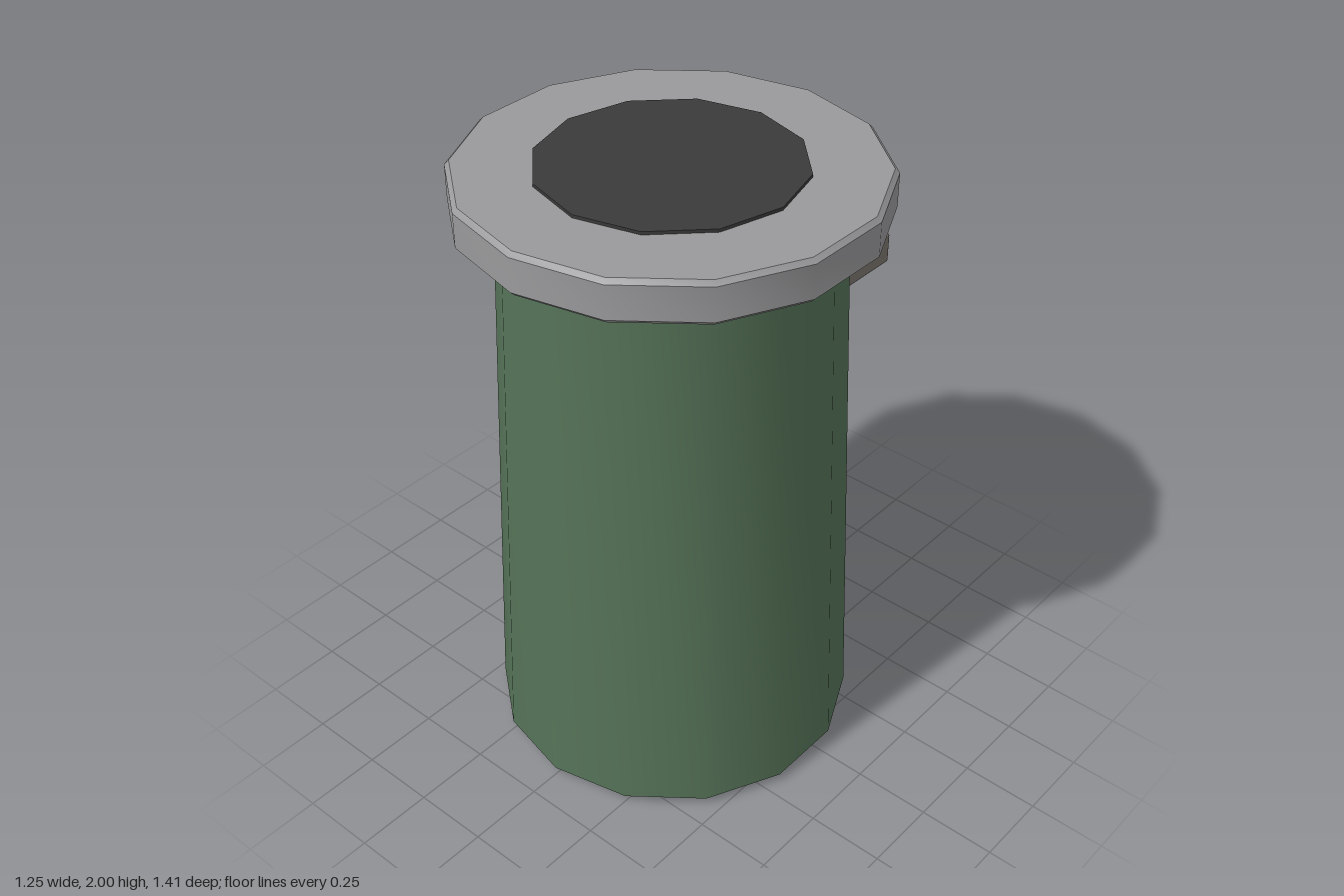
import * as THREE from 'three';
import { toCreasedNormals } from 'three/addons/utils/BufferGeometryUtils.js';
import { RoundedBoxGeometry } from 'three/addons/geometries/RoundedBoxGeometry.js';

const material = (name, color) => {
  const m = new THREE.MeshStandardMaterial({ color });
  m.name = name;
  return m;
};

// Closed turned solid: smooth around, sharp at its bevels
function turned(name, profile, sides, mat) {
  const points = profile.map(([r, y]) => new THREE.Vector2(r, y));
  const geometry = toCreasedNormals(new THREE.LatheGeometry(points, sides), THREE.MathUtils.degToRad(32));
  const mesh = new THREE.Mesh(geometry, mat);
  mesh.name = name;
  return mesh;
}

export function createModel() {
  const green = material('green paint', 0x557257);
  const grey = material('light grey metal', 0x9a9a9c);
  const dark = material('dark opening', 0x3a3a3a);
  const brown = material('brown grey bracket', 0x7b756f);

  const model = new THREE.Group();
  model.name = 'bin';

  // Round parts share an axis set forward of the bracket
  const round = new THREE.Group();
  round.name = 'roundParts';
  round.position.z = 0.065;
  round.add(
    // Tapered body with bevelled ends
    turned('body', [[0, 0], [0.555, 0], [0.583, 0.028], [0.51, 1.842], [0.496, 1.857], [0, 1.857]], 14, green),
    // Overhanging rim
    turned('rim', [[0, 1.855], [0.626, 1.855], [0.64, 1.869], [0.64, 1.976], [0.626, 1.99], [0, 1.99]], 14, grey),
    // Opening disc on top
    turned('opening', [[0, 1.96], [0.4, 1.96], [0.4, 2], [0, 2]], 12, dark)
  );
  model.add(round);

  // Rear mounting bracket
  const bracket = new THREE.Mesh(new RoundedBoxGeometry(0.476, 0.1, 0.315, 1, 0.006), brown);
  bracket.name = 'rearBracket';
  bracket.position.set(0, 1.47, -0.5475);
  model.add(bracket);

  return model;
}
